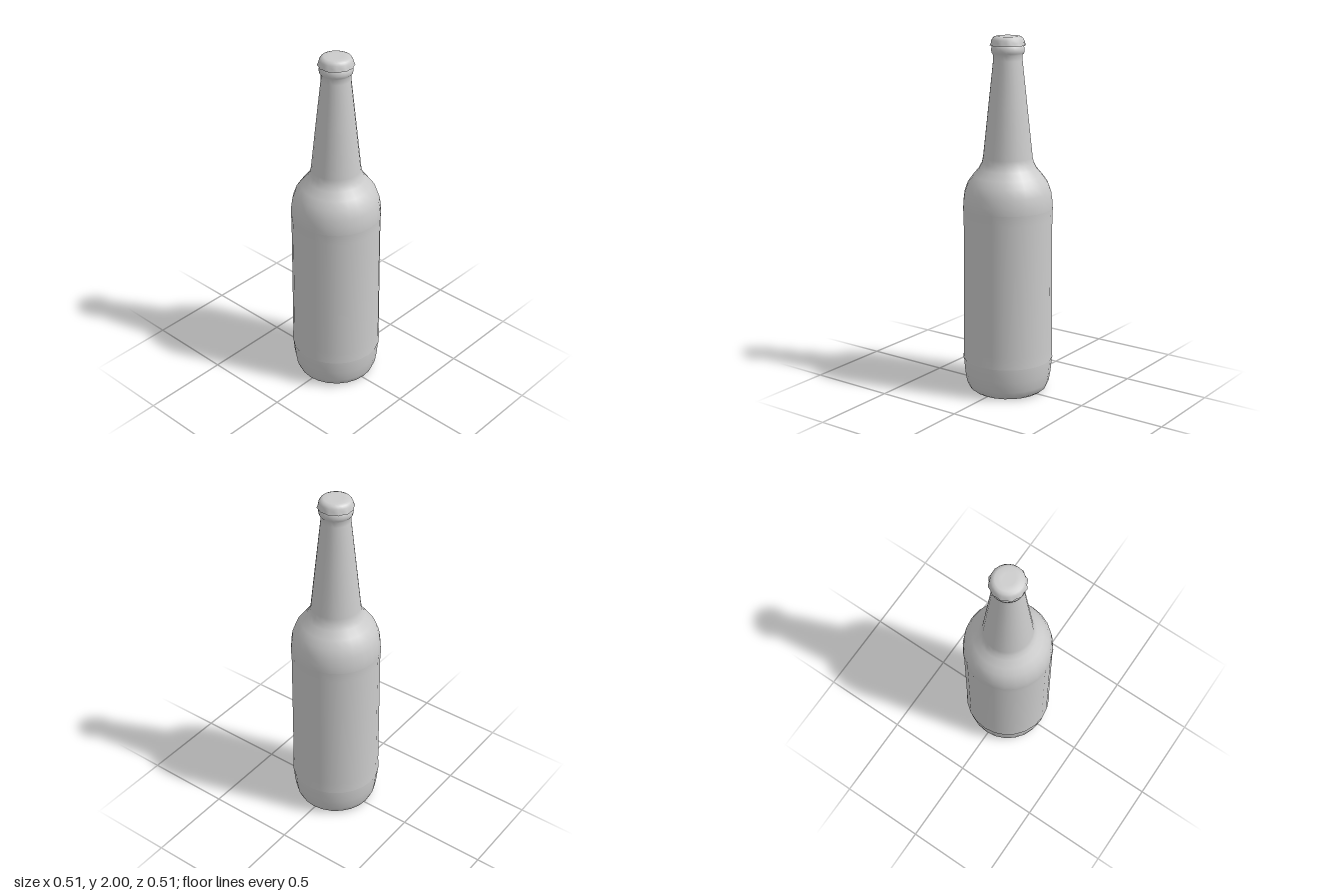
import * as THREE from 'three';
import { mergeVertices } from 'three/addons/utils/BufferGeometryUtils.js';

const SIDES = 24;

// Turned part from [radius, height] pairs listed from bottom to top
function turned(name, profile, side = THREE.FrontSide) {
  const points = profile.map(([r, y]) => new THREE.Vector2(r, y));
  const mesh = new THREE.Mesh(
    new THREE.LatheGeometry(points, SIDES),
    new THREE.MeshStandardMaterial({ color: 0xcccccc, side })
  );
  mesh.name = name;
  return mesh;
}

export function createModel() {
  const bottle = new THREE.Group();
  bottle.name = 'bottle';

  // Glass: rounded foot, straight body, shoulder, tapering neck and lip ring
  bottle.add(turned('glass', [
    [0.2, 0], [0.22, 0.015], [0.235, 0.05], [0.245, 0.11], [0.252, 0.19], [0.25, 0.26],
    [0.248, 0.6], [0.246, 1.0], [0.249, 1.06], [0.247, 1.1], [0.24, 1.15], [0.222, 1.2],
    [0.193, 1.24], [0.16, 1.28], [0.144, 1.31], [0.137, 1.34],
    [0.107, 1.62], [0.08, 1.87], [0.08, 1.9],
    [0.088, 1.91], [0.091, 1.925], [0.088, 1.943], [0.08, 1.952]
  ]));

  // Flat underside
  const base = new THREE.Mesh(
    new THREE.CircleGeometry(0.2, SIDES).rotateX(Math.PI / 2),
    new THREE.MeshStandardMaterial({ color: 0xcccccc })
  );
  base.name = 'base';
  bottle.add(base);

  // Thin sleeve label wrapped round the body
  bottle.add(turned('label', [
    [0.254, 0.19], [0.251, 0.26], [0.249, 0.6], [0.247, 1.0], [0.25, 1.06]
  ], THREE.DoubleSide));

  // Cap with a domed edge and a skirt crimped into twelve points
  const cap = turned('cap', [
    [0.093, 1.95], [0.09, 1.965], [0.088, 1.98], [0.08, 1.993], [0.065, 2], [0.035, 2], [0, 1.999]
  ], THREE.DoubleSide);
  const pos = cap.geometry.attributes.position;
  for (let i = 0; i < pos.count; i++) {
    const x = pos.getX(i), y = pos.getY(i), z = pos.getZ(i);
    if (y > 1.97) continue;
    const crimp = (1 - Math.cos(12 * Math.atan2(x, z))) / 2;
    const scale = 1 + crimp * (y < 1.955 ? 0.07 : 0.03);
    pos.setXYZ(i, x * scale, y, z * scale);
  }
  cap.geometry.deleteAttribute('uv');
  cap.geometry.deleteAttribute('normal');
  cap.geometry = mergeVertices(cap.geometry);
  cap.geometry.computeVertexNormals();
  bottle.add(cap);

  return bottle;
}
